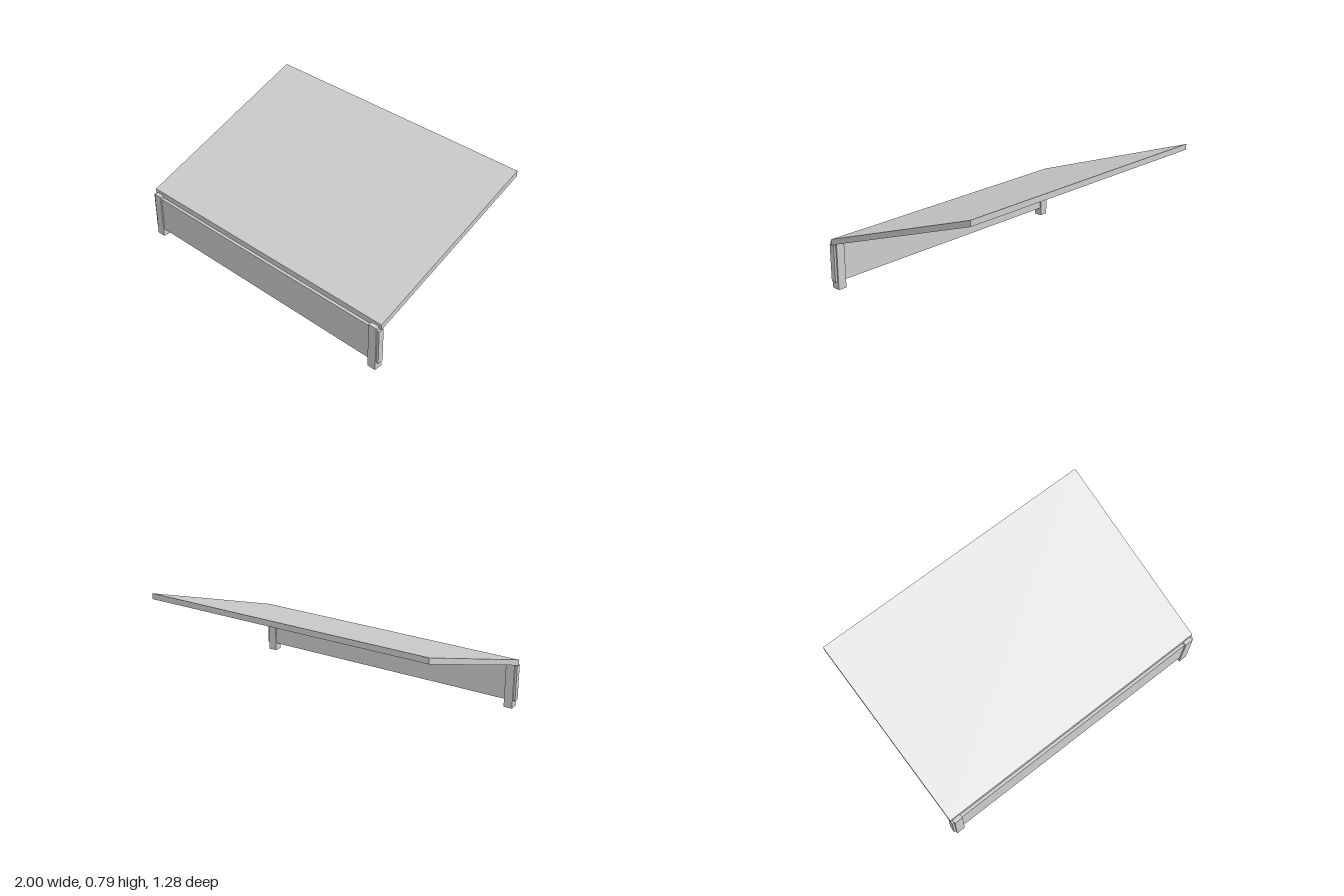
import * as THREE from 'three';

export function createModel() {
  const group = new THREE.Group();
  const grey = new THREE.MeshStandardMaterial({ color: 0xcccccc });
  grey.name = 'light grey';

  const add = (name, geometry, x, y, z) => {
    const mesh = new THREE.Mesh(geometry, grey);
    mesh.name = name;
    mesh.position.set(x, y, z);
    group.add(mesh);
    return mesh;
  };

  // Sloping slab: a box sheared along z, so both ends stay vertical
  const front = 0.613, back = -0.64, rise = 0.449;
  const depth = front - back;
  const slab = new THREE.BoxGeometry(2, 0.039, depth);
  const p = slab.attributes.position;
  for (let i = 0; i < p.count; i++) p.setY(i, p.getY(i) - (p.getZ(i) / depth) * rise);
  slab.computeVertexNormals();
  add('slopingSlab', slab, 0, 0.547, (front + back) / 2);

  // Upright board under the low edge
  add('frontBoard', new THREE.BoxGeometry(2, 0.248, 0.039), 0, 0.177, 0.612);

  // Square posts near both ends of the board
  for (const [name, side] of [['leftPost', 1], ['rightPost', -1]]) {
    add(name, new THREE.BoxGeometry(0.06, 0.32, 0.059), side * 0.955, 0.16, 0.611);
  }
  return group;
}
